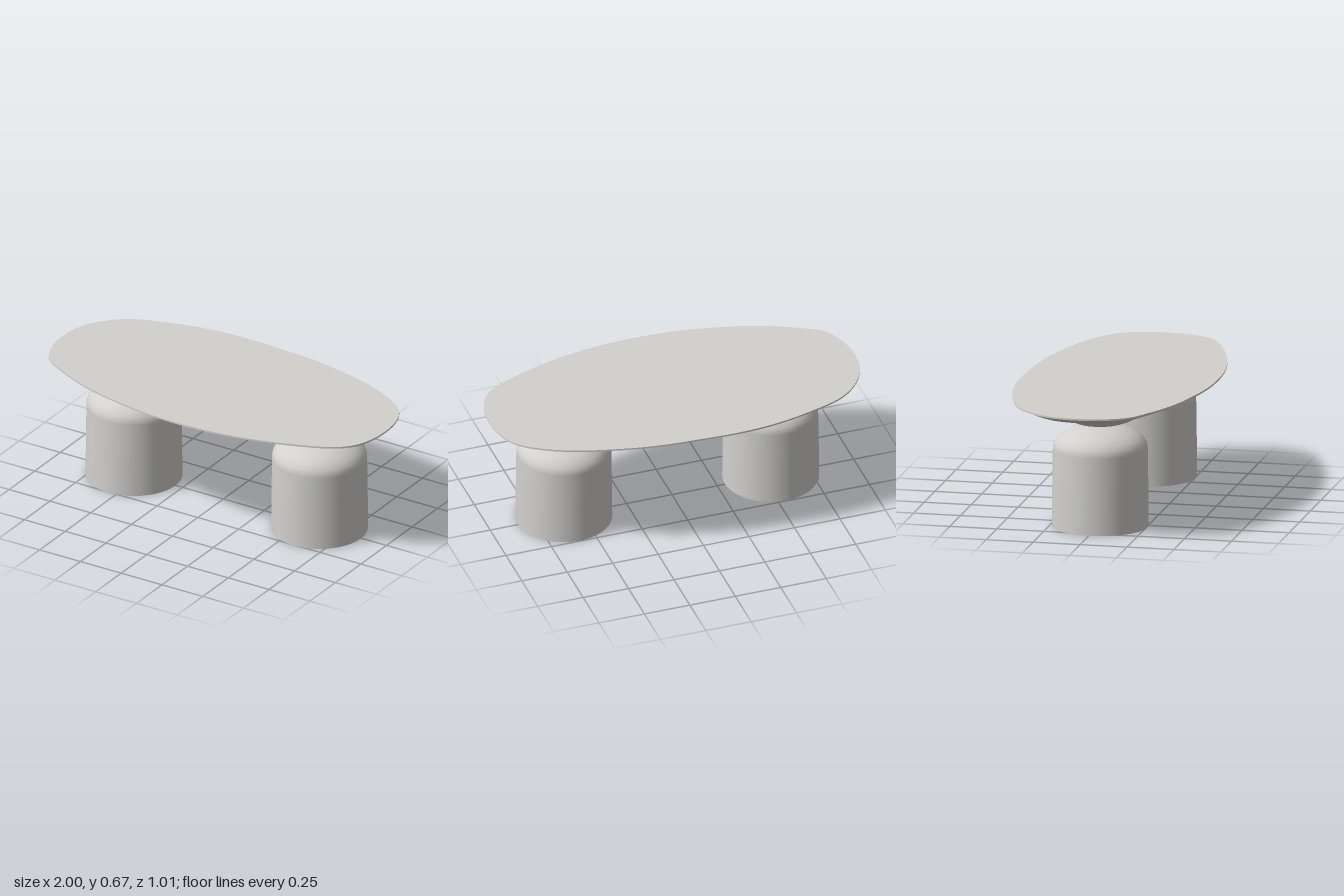
import * as THREE from 'three';

const stone = new THREE.MeshStandardMaterial({ color: 0xd2d1ce });
stone.name = 'pale stone grey';

// Asymmetric pebble outline of the top, as [x, z], running left, back, right, front
const outline = [
  [-1, 0], [-0.98, -0.16], [-0.91, -0.28], [-0.8, -0.375], [-0.6, -0.447], [-0.4, -0.492],
  [-0.2, -0.508], [0.03, -0.5], [0.25, -0.484], [0.46, -0.445], [0.67, -0.385], [0.83, -0.31],
  [0.94, -0.22], [0.987, -0.11], [1, 0.01], [0.985, 0.14], [0.94, 0.24], [0.86, 0.31],
  [0.67, 0.392], [0.46, 0.455], [0.25, 0.491], [0.05, 0.502], [-0.18, 0.491], [-0.4, 0.453],
  [-0.6, 0.4], [-0.8, 0.31], [-0.92, 0.235], [-0.975, 0.13],
];

function mesh(name, geometry) {
  const m = new THREE.Mesh(geometry, stone);
  m.name = name;
  return m;
}

// Strip of faces between two rings of points, outward when listed from the top down
function band(a, b) {
  const n = a.length, index = [];
  for (let i = 0; i < n; i++) {
    const j = (i + 1) % n;
    index.push(i, n + j, n + i, i, j, n + j);
  }
  const g = new THREE.BufferGeometry().setFromPoints([...a, ...b]);
  g.setIndex(index);
  g.computeVertexNormals();
  return g;
}

function lathe(profile) {
  return new THREE.LatheGeometry(profile.map(([r, y]) => new THREE.Vector2(r, y)), 64);
}

function tableTop() {
  const curve = new THREE.CatmullRomCurve3(
    outline.map(([x, z]) => new THREE.Vector3(x, 0, z)), true, 'centripetal');
  const n = 144;
  const ring = (inset, y) => Array.from({ length: n }, (_, i) => {
    const p = curve.getPoint(i / n), t = curve.getTangent(i / n);
    return new THREE.Vector3(p.x - t.z * inset, y, p.z + t.x * inset);
  });
  const centre = (y) => Array.from({ length: n }, () => new THREE.Vector3(0, y, 0));

  const group = new THREE.Group();
  group.name = 'tableTop';
  group.add(
    mesh('topSurface', band(centre(0.67), ring(0, 0.67))),
    mesh('rimEdge', band(ring(0, 0.67), ring(0, 0.661))),
    mesh('underBevel', band(ring(0, 0.661), ring(0.08, 0.628))),
    mesh('underside', band(ring(0.08, 0.628), centre(0.628))),
  );
  return group;
}

function pedestal(name, x) {
  const group = new THREE.Group();
  group.name = name;
  // Slightly tapered drum with a domed head
  const drum = lathe([
    [0.252, 0], [0.25, 0.2], [0.247, 0.41], [0.246, 0.428], [0.239, 0.449], [0.222, 0.473],
    [0.195, 0.495], [0.16, 0.514], [0.12, 0.529], [0.08, 0.538], [0.04, 0.541], [0, 0.541],
  ]);
  // Shallow bowl carrying the top
  const bowl = lathe([
    [0, 0.538], [0.05, 0.539], [0.09, 0.544], [0.13, 0.554], [0.17, 0.57],
    [0.2, 0.588], [0.222, 0.608], [0.236, 0.628],
  ]);
  const base = new THREE.CircleGeometry(0.252, 64).rotateX(Math.PI / 2);
  group.add(mesh('drum', drum), mesh('supportBowl', bowl), mesh('drumBase', base));
  group.position.set(x, 0, 0.005);
  return group;
}

export function createModel() {
  const model = new THREE.Group();
  model.name = 'pedestalTable';
  model.add(tableTop(), pedestal('rightPedestal', -0.545), pedestal('leftPedestal', 0.593));
  return model;
}
